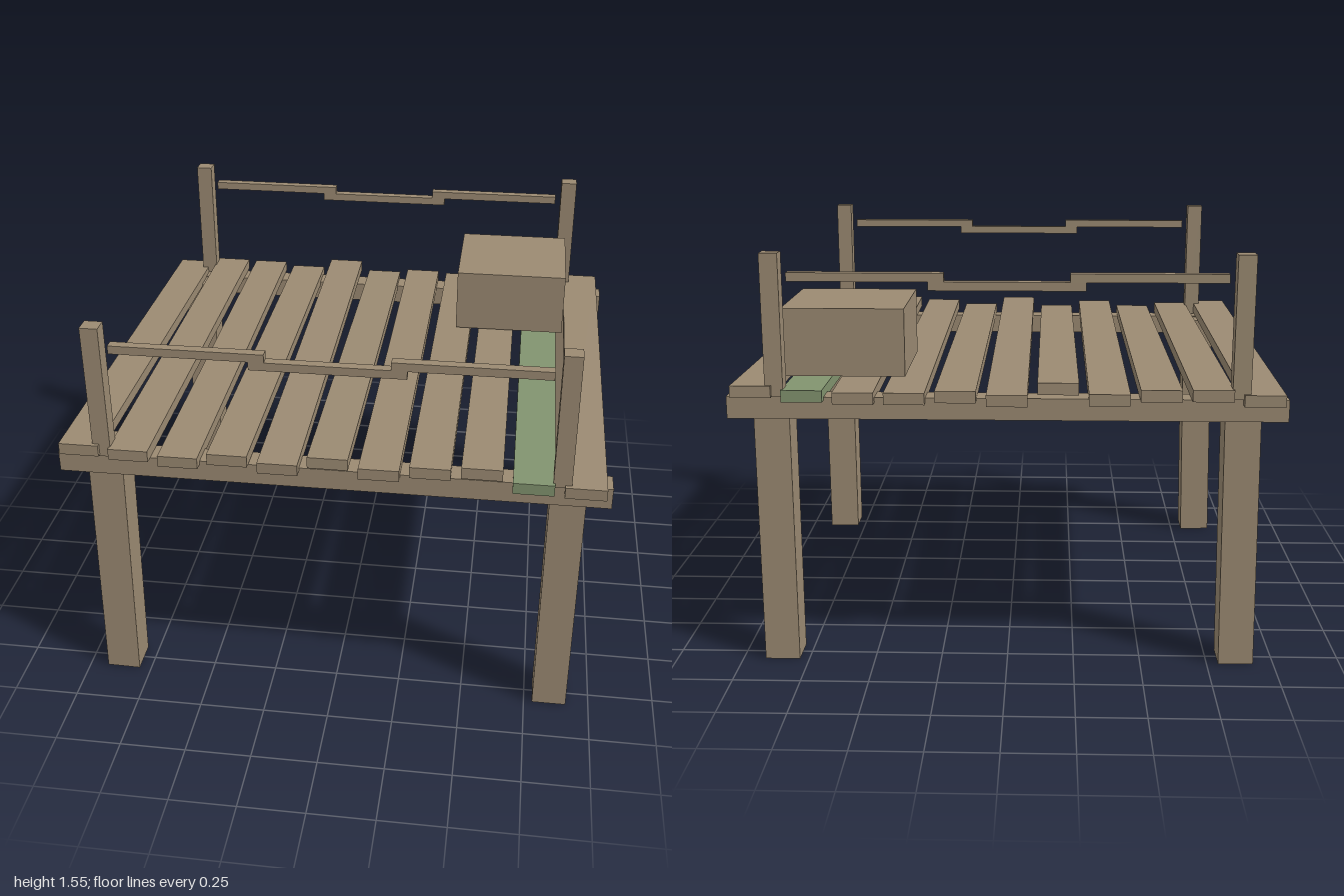
import * as THREE from 'three';

export function createModel() {
  const model = new THREE.Group();
  model.name = 'deck';

  const wood = new THREE.MeshStandardMaterial({ color: 0x9b8a72 });
  wood.name = 'weathered wood';
  const mossy = new THREE.MeshStandardMaterial({ color: 0x82946f });
  mossy.name = 'mossy wood';

  function box(name, size, position, material = wood) {
    const mesh = new THREE.Mesh(new THREE.BoxGeometry(...size), material);
    mesh.name = name;
    mesh.position.set(...position);
    model.add(mesh);
    return mesh;
  }

  // Uneven planks: [top height at front end, top height at back end]
  const plankTops = [
    [1.09, 1.06], [1.08, 1.078], [1.065, 1.076], [1.087, 1.06],
    [1.065, 1.1], [1.102, 1.055], [1.07, 1.068], [1.09, 1.06],
    [1.102, 1.06], [1.055, 1.067], [1.05, 1.082],
  ];
  const thick = 0.043;
  plankTops.forEach(([front, back], i) => {
    const x = (i - 5) * 0.1815 - 0.002;
    const plank = box('plank', [0.146, thick, 1.8],
      [x, (front + back) / 2 - thick / 2, 0], i === 9 ? mossy : wood);
    plank.rotation.x = Math.atan2(back - front, 1.8);
  });

  // Legs lean slightly: [x at top, x at foot, z]
  const legs = [
    [-0.843, -0.862, 0.753], [-0.845, -0.858, -0.753],
    [0.85, 0.847, 0.753], [0.85, 0.85, -0.753],
  ];
  for (const [top, foot, z] of legs) {
    const leg = box('leg', [0.13, 1.03, 0.13], [(top + foot) / 2, 0.516, z]);
    leg.rotation.z = Math.atan2(foot - top, 1.03);
  }

  for (const side of [1, -1]) {
    // Beam under the plank ends
    box('beam', [2, 0.08, 0.088], [0, 0.995, side * 0.821]);

    // Railing posts
    for (const x of [-0.828, 0.823]) {
      box('railPost', [0.065, 0.51, 0.062], [x, 1.295, side * 0.853]);
    }

    // Stepped handrail in three overlapping pieces
    for (const [x, y] of [[-0.497, 1.465], [-0.003, 1.435], [0.492, 1.465]]) {
      box('handrail', [0.55, 0.031, 0.036], [x, y, side * 0.851]);
    }
  }

  // Crate resting on the planks
  box('crate', [0.447, 0.25, 0.45], [0.597, 1.205, -0.502]);

  return model;
}
